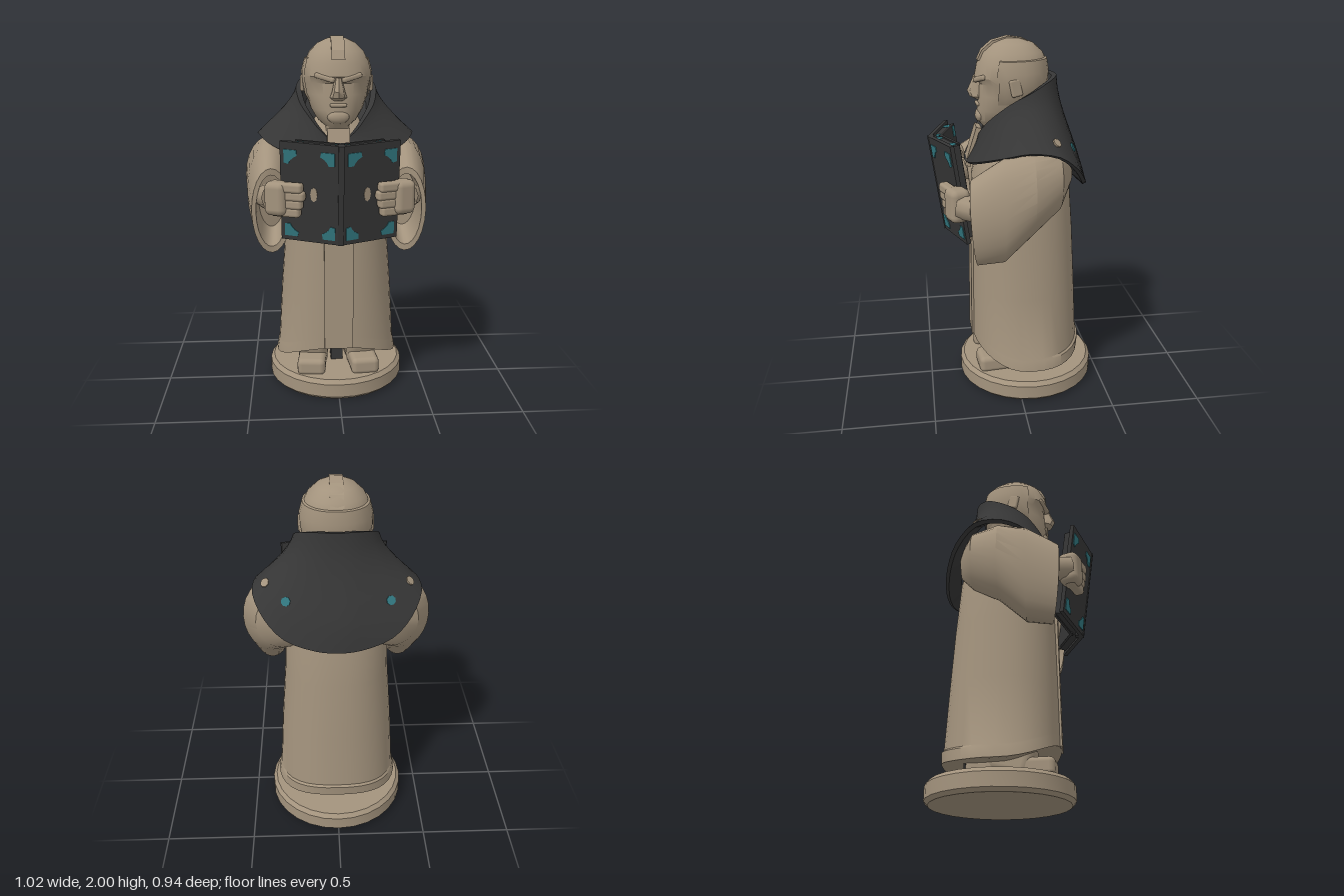
import * as THREE from 'three';
import { toCreasedNormals } from 'three/addons/utils/BufferGeometryUtils.js';
import { RoundedBoxGeometry } from 'three/addons/geometries/RoundedBoxGeometry.js';

const material = (name, color) => Object.assign(new THREE.MeshStandardMaterial({ color }), { name });
const V = (x, y, z) => new THREE.Vector3(x, y, z);

// Skin over rings of points; each ring closes on itself unless open
function loft(rings, { capStart = true, capEnd = true, open = false, crease = 0.6 } = {}) {
  const pos = [], idx = [], n = rings[0].length;
  rings.forEach(r => r.forEach(p => pos.push(p.x, p.y, p.z)));
  for (let i = 0; i < rings.length - 1; i++)
    for (let j = 0; j < (open ? n - 1 : n); j++) {
      const a = i * n + j, b = i * n + (j + 1) % n;
      idx.push(a, b, a + n, b, b + n, a + n);
    }
  const cap = (row, flip) => {
    const c = rings[row].reduce((s, p) => s.add(p), V(0, 0, 0)).divideScalar(n);
    const k = pos.push(c.x, c.y, c.z) / 3 - 1;
    for (let j = 0; j < n; j++) {
      const a = row * n + j, b = row * n + (j + 1) % n;
      flip ? idx.push(k, b, a) : idx.push(k, a, b);
    }
  };
  if (capStart && !open) cap(0, true);
  if (capEnd && !open) cap(rings.length - 1, false);
  const g = new THREE.BufferGeometry();
  g.setAttribute('position', new THREE.Float32BufferAttribute(pos, 3));
  g.setIndex(idx);
  return toCreasedNormals(g, crease);
}

function add(parent, name, geo, mat, p = [0, 0, 0], r = [0, 0, 0]) {
  const m = new THREE.Mesh(geo, mat);
  m.name = name;
  m.position.set(...p);
  m.rotation.set(...r);
  parent.add(m);
  return m;
}

// Adds a left-hand group and its baked mirror image
function addBoth(parent, half, name) {
  half.name = 'left' + name;
  half.updateMatrixWorld(true);
  const other = new THREE.Group();
  other.name = 'right' + name;
  half.traverse(o => {
    if (!o.isMesh) return;
    const g = (o.geometry.index ? o.geometry.toNonIndexed() : o.geometry.clone());
    g.applyMatrix4(o.matrixWorld).scale(-1, 1, 1);
    for (const a of [g.attributes.position, g.attributes.normal])
      for (let i = 0; i < a.count; i += 3) {
        const p = [a.getX(i), a.getY(i), a.getZ(i)];
        a.setXYZ(i, a.getX(i + 1), a.getY(i + 1), a.getZ(i + 1));
        a.setXYZ(i + 1, ...p);
      }
    add(other, o.name, g, o.material);
  });
  parent.add(half, other);
}

// Horizontal ring: half width, front z, back z
function ring(y, rx, zf, zb, n = 32, pow = 1) {
  return Array.from({ length: n }, (_, i) => {
    const a = i / n * Math.PI * 2, s = Math.sin(a), c = Math.cos(a);
    const q = v => Math.sign(v) * Math.abs(v) ** pow;
    return V(rx * q(s), typeof y === 'function' ? y(c) : y, (zf + zb) / 2 + (zf - zb) / 2 * q(c));
  });
}

export function createModel() {
  const model = new THREE.Group();
  model.name = 'robedFigure';
  const tan = material('tan', 0xa3937d), dark = material('charcoal', 0x363636), teal = material('teal', 0x327880);

  // Round base with a bevelled rim
  add(model, 'base', loft([[0, .375], [.02, .395], [.095, .395], [.118, .375]]
    .map(([y, r]) => ring(y, r, r - .075, -r - .075, 28)), { crease: .4 }), tan);

  // Robe with a hem that rises at the front
  const hem = c => .17 + .12 * Math.max(0, c) ** 2 + .035 * Math.max(0, -c) ** 4;
  const rows = [[hem, .33, .22, -.35], [hem, .355, .25, -.38], [c => hem(c) + .06, .345, .25, -.385],
    [c => hem(c) + .07, .34, .25, -.372], [.6, .318, .248, -.355], [.95, .29, .243, -.335], [1.25, .28, .235, -.31],
    [1.38, .26, .2, -.28], [1.5, .2, .11, -.22], [1.58, .1, .08, -.14]];
  add(model, 'robe', loft(rows.map(([y, a, f, b]) => ring(y, a, f, b, 36, .9))), tan);
  add(model, 'frontPanel', new THREE.BoxGeometry(.16, .8, .025), tan, [0, .69, .24], [-.01, 0, 0]);
  add(model, 'collarStrip', new THREE.BoxGeometry(.12, .22, .03), tan, [0, 1.42, .225], [-.3, 0, 0]);

  // Feet with dark heel backs and a dark gap between them
  const foot = new THREE.Group();
  add(foot, 'foot', new RoundedBoxGeometry(.16, .1, .46, 2, .03), tan, [.135, .155, 0], [0, .1, 0]);
  add(foot, 'instep', new RoundedBoxGeometry(.17, .2, .24, 2, .05), tan, [.135, .21, 0], [.3, .1, 0]);
  add(foot, 'heelBack', new THREE.BoxGeometry(.13, .07, .008), dark, [.112, .155, -.232], [0, .1, 0]);
  addBoth(model, foot, 'Foot');
  add(model, 'footGap', new THREE.BoxGeometry(.07, .1, .2), dark, [0, .15, -.06]);

  // Hooded cape between a hem curve and a neck rim curve
  const loop = pts => new THREE.CatmullRomCurve3([...pts, ...pts.slice(0, -1).reverse().map(([x, y, z]) => [-x, y, z])]
    .map(p => V(...p)), true);
  const hemCurve = loop([[.03, 1.34, .27], [.15, 1.36, .25], [.28, 1.40, .18], [.38, 1.44, .09], [.43, 1.47, -.03],
    [.44, 1.45, -.18], [.38, 1.36, -.29], [.28, 1.27, -.35], [.12, 1.22, -.385], [0, 1.21, -.393]]);
  const rimCurve = loop([[.05, 1.48, .2], [.1, 1.52, .19], [.15, 1.58, .15], [.195, 1.64, .09], [.215, 1.69, .02],
    [.22, 1.73, -.06], [.19, 1.77, -.14], [.14, 1.79, -.19], [.08, 1.8, -.22], [0, 1.8, -.23]]);
  const cape = (u, t) => {
    const h = hemCurve.getPoint(u), r = rimCurve.getPoint(u), back = (1 - Math.abs(1 - 2 * u)) ** 3;
    const k = t ** 1.35 * (1 - back) + t * t * (3 - 2 * t) * back;
    return V(r.x + (h.x - r.x) * k, r.y + (h.y - r.y) * t, r.z + (h.z - r.z) * k);
  };
  const capeRing = (t, s = 1, dy = 0) => Array.from({ length: 57 }, (_, i) => {
    const p = cape(i / 57, t);
    return V(p.x * s, p.y + dy, (p.z + .04) * s - .04);
  });
  add(model, 'cape', loft([capeRing(1, .75, .05), capeRing(1, .95, -.012),
    ...[1, .85, .7, .55, .4, .25, .12, 0].map(t => capeRing(t)), capeRing(0, .86, -.005), capeRing(0, .76, -.09),
    capeRing(0, .5, -.13)], { capStart: false, capEnd: false }), dark);

  // Small spots laid on the back of the cape
  const spot = (name, u0, t0, mat) => {
    const c = cape(u0, t0);
    const nrm = cape(u0 + .01, t0).sub(c).cross(cape(u0, t0 - .01).sub(c)).normalize();
    const disc = add(model, name, new THREE.CylinderGeometry(.025, .025, .008, 8).rotateX(Math.PI / 2), mat);
    disc.position.copy(c).addScaledVector(nrm, .001);
    disc.quaternion.setFromUnitVectors(V(0, 0, 1), nrm);
  };
  for (const m of [u => u, u => 18 / 19 - u]) {
    spot('capeTealSpot', m(.35), .68, teal);
    spot('capeTanSpot', m(.275), .76, tan);
  }

  // Head and neck
  const head = [[1.42, .1, .08, -.13], [1.53, .07, .17, -.12], [1.56, .105, .195, -.135], [1.62, .142, .197, -.15],
    [1.7, .167, .19, -.165], [1.76, .178, .185, -.175], [1.795, .185, .208, -.18], [1.86, .176, .195, -.18],
    [1.92, .147, .165, -.155], [1.965, .1, .115, -.105], [1.99, .045, .06, -.04]];
  add(model, 'head', loft(head.map(([y, a, f, b]) => ring(y, a, f, b, 28, .92))), tan);

  // Hair band round the back, and a strip over the crown
  const band = [[1.66, 0], [1.7, .01], [1.76, .01], [1.82, .01], [1.885, .01], [1.895, -.02]].map(([y, o]) => {
    const i = Math.max(1, head.findIndex(h => h[0] >= y)), A = head[i - 1], B = head[i];
    const k = (y - A[0]) / (B[0] - A[0]), L = j => A[j] + (B[j] - A[j]) * k;
    const full = ring(y, L(1) + o, L(2) + o, L(3) - o, 28, .92);
    return full.slice(5, 24).map(p => V(p.x, p.y + .02 * Math.max(0, -p.z), p.z));
  });
  add(model, 'hairBand', loft(band, { open: true }), tan);
  const crest = new THREE.Shape([[.194, 1.88], [.17, 1.93], [.115, 1.977], [.03, 2], [-.05, 1.988], [-.12, 1.953],
    [-.165, 1.9], [0, 1.86]].map(p => new THREE.Vector2(...p)));
  add(model, 'crownStrip', new THREE.ExtrudeGeometry(crest, { depth: .07, bevelEnabled: false }), tan,
    [.035, 0, 0], [0, -Math.PI / 2, 0]);

  // Face
  add(model, 'nose', loft([[1.672, .03, .205], [1.688, .045, .235], [1.72, .034, .248], [1.79, .018, .215]]
    .map(([y, w, z]) => ring(y, w, z, .15, 8))), tan);
  add(model, 'upperLip', new RoundedBoxGeometry(.09, .02, .03, 2, .009), tan, [0, 1.648, .19]);
  add(model, 'chin', new THREE.SphereGeometry(.045, 12, 8).scale(1.3, .8, .6), tan, [0, 1.585, .182]);
  const face = new THREE.Group();
  add(face, 'brow', new RoundedBoxGeometry(.115, .028, .04, 2, .012), tan, [.07, 1.79, .18], [0, .4, .25]);
  add(face, 'ear', new RoundedBoxGeometry(.025, .09, .06, 2, .011), tan, [.182, 1.755, .01], [.2, .2, 0]);
  addBoth(model, face, 'Face');

  // Wide sleeves, forearms and fists
  const arm = new THREE.Group();
  const sleeve = [[-.28, .2, 1.32, .06, .08], [-.2, .29, 1.29, .14, .16], [-.05, .36, 1.24, .15, .22],
    [.1, .37, 1.155, .125, .28], [.25, .36, 1.095, .105, .235], [.25, .36, 1.095, .082, .2], [.08, .365, 1.12, .07, .16]];
  add(arm, 'sleeve', loft(sleeve.map(([z, cx, cy, rx, ry], k) => Array.from({ length: 24 }, (_, i) => {
    const a = i / 24 * Math.PI * 2, s = Math.sin(a), c = Math.cos(a);
    return V(cx + rx * c, cy + ry * s, z + (k > 3 ? .015 * s + .025 * c : 0));
  }))), tan);
  const path = new THREE.CatmullRomCurve3([V(.39, 1.14, .08), V(.385, 1.17, .22), V(.345, 1.19, .33)]);
  add(arm, 'forearm', new THREE.TubeGeometry(path, 6, .065, 10), tan);
  add(arm, 'palm', new RoundedBoxGeometry(.12, .18, .11, 2, .035), tan, [.325, 1.19, .335], [0, .4, 0]);
  for (let i = 0; i < 4; i++)
    add(arm, 'finger', new RoundedBoxGeometry(.18 - Math.abs(i - 2) * .012, .052, .055, 2, .016), tan,
      [.268 + Math.abs(i - 2) * .006, 1.12 + i * .044, .362 + (i - 1.5) * .006], [0, .36, 0]);
  addBoth(model, arm, 'Arm');

  // Open book, leaning forward, with painted corners
  const book = new THREE.Group();
  book.name = 'book';
  const half = new THREE.Group();
  half.rotation.y = .33;
  add(half, 'cover', new THREE.BoxGeometry(.325, .54, .022), dark, [.163, 0, -.011]);
  add(half, 'pages', new THREE.BoxGeometry(.27, .51, .05), dark, [.145, 0, -.045]);
  add(half, 'backBoard', new THREE.BoxGeometry(.26, .525, .014), dark, [.135, 0, -.07]);
  const corner = new THREE.Shape([[0, 0], [.068, 0], [.07, .03], [.052, .04], [.036, .055], [.024, .076], [0, .07]]
    .map(p => new THREE.Vector2(...p)));
  const cornerGeo = new THREE.ExtrudeGeometry(corner, { depth: .004, bevelEnabled: false });
  [[.03, -.245, 0], [.305, -.245, Math.PI / 2], [.305, .23, Math.PI], [.035, .23, -Math.PI / 2]]
    .forEach(([x, y, r]) => add(half, 'cornerPatch', cornerGeo, teal, [x, y, 0], [0, 0, r]));
  add(half, 'coverSpot', new THREE.CylinderGeometry(.019, .019, .005, 8).scale(1, 1, 2.1), tan,
    [.145, 0, .001], [Math.PI / 2, 0, 0]);
  for (const x of [.05, .235])
    add(half, 'edgePatch', new THREE.CylinderGeometry(.027, .027, .005, 8), teal, [x, .255, -.042]);
  add(half, 'backPatch', new THREE.BoxGeometry(.035, .06, .005), teal, [.235, .225, -.077]);
  addBoth(book, half, 'BookHalf');
  add(book, 'spine', new THREE.BoxGeometry(.03, .54, .05), dark, [0, 0, -.024]);
  book.position.set(0, 1.208, .43);
  book.rotation.x = .14;
  model.add(book);

  return model;
}
